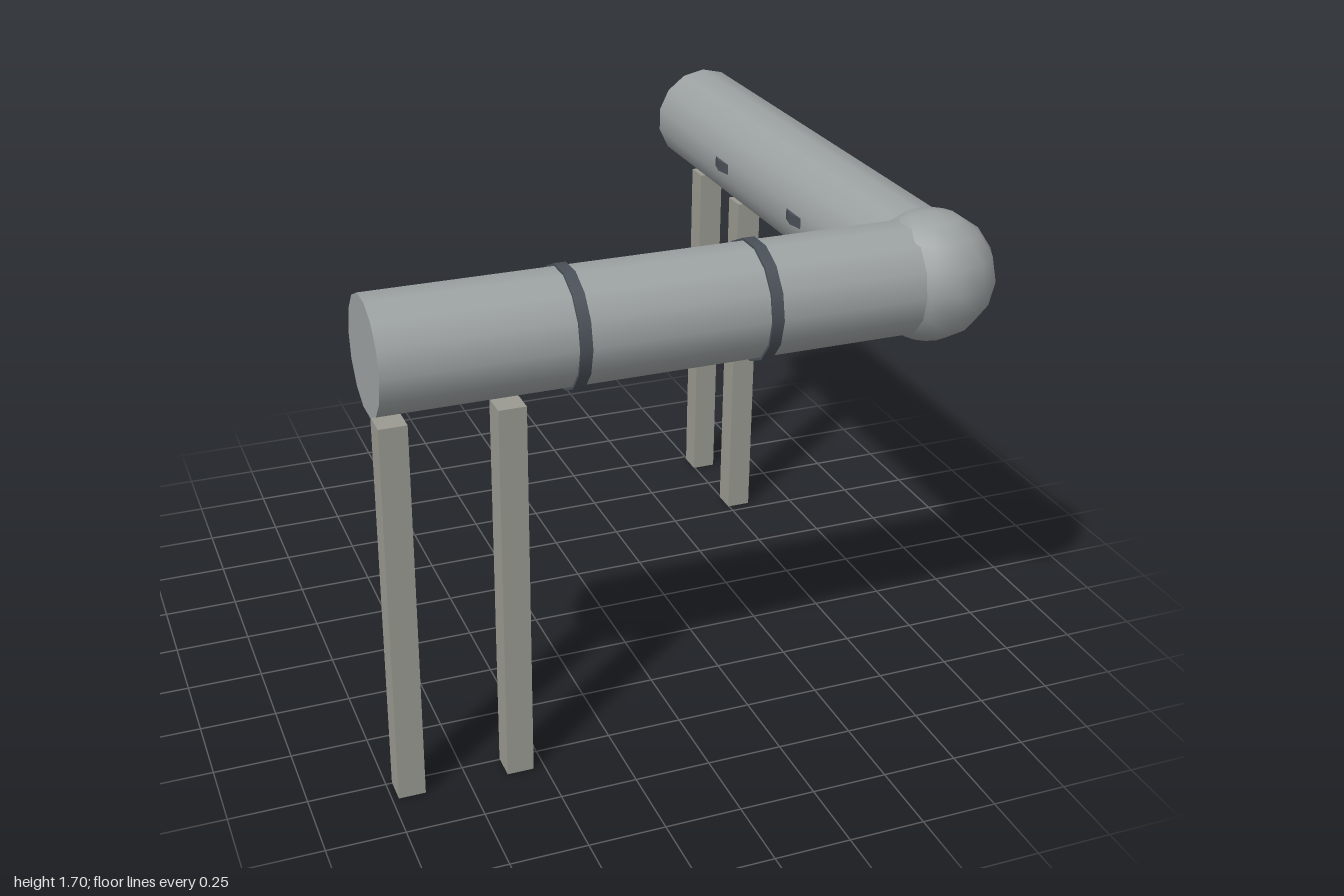
import * as THREE from 'three';

const SIDES = 14;
const AXIS_Y = 1.497;   // height of the pipe centre lines
const CORNER = 0.787;   // x and z of the elbow
const PIPE_R = 0.18;

export function createModel() {
  const model = new THREE.Group();
  const pipeMat = new THREE.MeshStandardMaterial({ color: 0x9ca1a1 });
  const bandMat = new THREE.MeshStandardMaterial({ color: 0x4a5058 });
  const legMat = new THREE.MeshStandardMaterial({ color: 0x9a9a92 });

  const add = (name, geometry, material, x, y, z) => {
    const mesh = new THREE.Mesh(geometry, material);
    mesh.name = name;
    mesh.position.set(x, y, z);
    model.add(mesh);
    return mesh;
  };

  // Two pipes meeting at the corner
  const length = CORNER + 0.997;
  const middle = CORNER - length / 2;
  const pipe = new THREE.CylinderGeometry(PIPE_R, PIPE_R, length, SIDES);
  add('frontPipe', pipe, pipeMat, middle, AXIS_Y, CORNER - 0.003).rotation.z = Math.PI / 2;
  add('sidePipe', pipe, pipeMat, CORNER, AXIS_Y, middle).rotation.x = Math.PI / 2;

  // Ball elbow
  const ball = new THREE.SphereGeometry(0.207, SIDES, 8).rotateY(Math.PI / 2);
  add('elbowBall', ball, pipeMat, CORNER, AXIS_Y, CORNER);

  // Bands: upright around the front pipe, lying flat through the side pipe
  const band = new THREE.CylinderGeometry(0.188, 0.188, 0.037, SIDES);
  for (const along of [-0.4, 0.193]) {
    add('frontBand', band, bandMat, along, AXIS_Y, CORNER - 0.003).rotation.z = Math.PI / 2;
    add('sideBand', band, bandMat, CORNER, AXIS_Y, along).rotation.y = Math.PI / 2;
  }

  // Square support legs near the free end of each pipe
  const legHeight = 1.285;
  const leg = new THREE.BoxGeometry(0.087, legHeight, 0.087);
  for (const along of [-0.936, -0.58]) {
    add('frontLeg', leg, legMat, along, legHeight / 2, CORNER + 0.003);
    add('sideLeg', leg, legMat, CORNER + 0.003, legHeight / 2, along);
  }

  return model;
}
